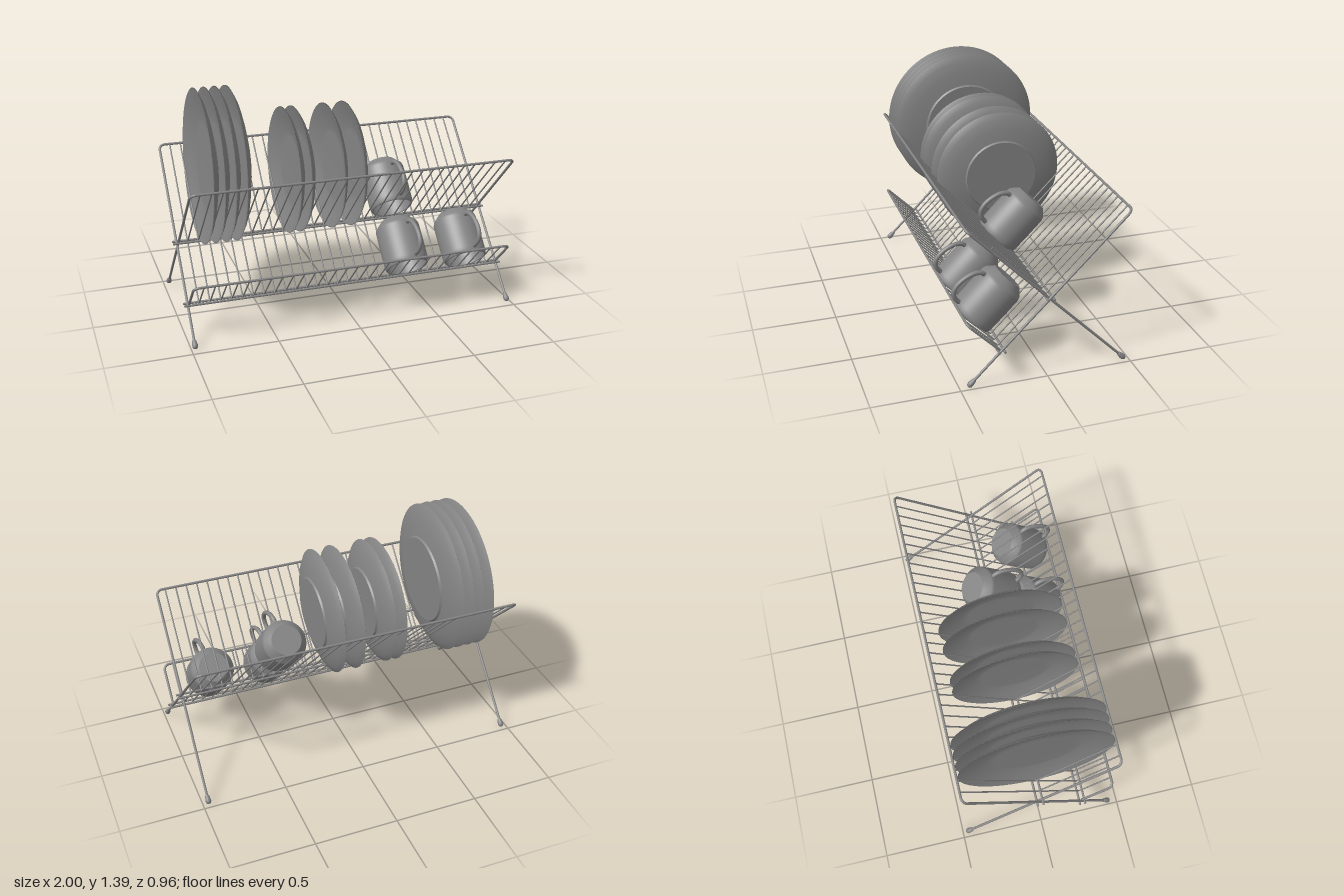
import * as THREE from 'three';

const steel = new THREE.MeshStandardMaterial({ color: 0x848484 });
const china = new THREE.MeshStandardMaterial({ color: 0x848484, side: THREE.DoubleSide });
const V2 = (p) => new THREE.Vector2(p[0], p[1]);

function add(parent, name, geometry, material = steel) {
  const mesh = new THREE.Mesh(geometry, material);
  mesh.name = name;
  parent.add(mesh);
  return mesh;
}

// Straight round bar along local y, from y0 to y1
function upright(parent, name, x, y0, y1, r) {
  add(parent, name, new THREE.CylinderGeometry(r, r, y1 - y0, 10)).position.set(x, (y0 + y1) / 2, 0);
}

// Straight round bar along x
function crossBar(parent, name, halfLength, y, z, r) {
  const bar = add(parent, name, new THREE.CylinderGeometry(r, r, halfLength * 2, 10));
  bar.rotation.z = Math.PI / 2;
  bar.position.set(0, y, z);
}

// Flat rack: rounded U frame filled with thin wires, optionally ending in capped feet
function rack({ name, halfWidth, top, bottom, wireBottom, feet }) {
  const group = new THREE.Group();
  group.name = name;
  const r = 0.0075, corner = 0.035;
  crossBar(group, 'topBar', halfWidth - corner, top, 0, r);
  for (const side of [-1, 1]) {
    upright(group, 'sideBar', side * halfWidth, bottom, top - corner, r);
    const bend = add(group, 'cornerBend', new THREE.TorusGeometry(corner, r, 10, 8, Math.PI / 2));
    bend.position.set(side * (halfWidth - corner), top - corner, 0);
    if (side < 0) bend.rotation.z = Math.PI / 2;
    if (feet) {
      const profile = [[0, -0.025], [0.011, -0.022], [0.0165, -0.012], [0.0165, 0], [0.012, 0.025], [0.007, 0.03]];
      add(group, 'footCap', new THREE.LatheGeometry(profile.map(V2), 16)).position.set(side * halfWidth, bottom, 0);
    }
  }
  for (let i = -14; i <= 14; i++) upright(group, 'wire', i * 0.0651, wireBottom, top, 0.0045);
  return group;
}

// Dished plate: axis along +x towards the foot, rim in the plane x = 0
function plate(name, radius, foot) {
  const dish = [
    // upper, concave face
    [0, 0.042], [foot * 0.92, 0.042], [foot * 1.08, 0.039], [foot + (radius - foot) * 0.6, 0.02], [radius - 0.006, -0.003],
    // rim and underside
    [radius, 0], [foot + (radius - foot) * 0.78, 0.023], [foot + (radius - foot) * 0.45, 0.043], [foot * 1.03, 0.056],
  ];
  // raised flat foot, split to keep its edge sharp
  const step = [[foot * 1.03, 0.056], [foot, 0.067]];
  const disc = [[foot, 0.067], [0, 0.067]];
  const group = new THREE.Group();
  group.name = name;
  for (const [part, points] of Object.entries({ plateDish: dish, plateFootEdge: step, plateFoot: disc })) {
    add(group, part, new THREE.LatheGeometry(points.map(V2), 72), china);
  }
  group.rotation.z = -Math.PI / 2 - 0.025;
  return group;
}

// Upside-down mug: mouth at y = 0, closed base at the top, handle towards +z
function mug() {
  const group = new THREE.Group();
  group.name = 'mug';
  const outside = [[0.126, 0], [0.132, 0.012], [0.134, 0.035], [0.135, 0.13], [0.134, 0.245], [0.129, 0.263], [0.097, 0.297], [0.09, 0.305]];
  const base = [[0.09, 0.305], [0, 0.305]];
  const inside = [[0, 0.285], [0.085, 0.284], [0.118, 0.255], [0.122, 0.2], [0.122, 0.03], [0.118, 0.002], [0.122, -0.003], [0.126, 0]];
  for (const [part, points] of Object.entries({ mugWall: outside, mugBase: base, mugInside: inside })) {
    add(group, part, new THREE.LatheGeometry(points.map(V2), 48), china);
  }
  const path = new THREE.CatmullRomCurve3(
    [[0.238, 0.122], [0.236, 0.155], [0.211, 0.188], [0.165, 0.212], [0.11, 0.222], [0.062, 0.21], [0.036, 0.175], [0.03, 0.128]]
      .map(([y, z]) => new THREE.Vector3(0, y, z)));
  add(group, 'mugHandle', new THREE.TubeGeometry(path, 40, 0.0135, 12), china);
  group.rotation.set(-Math.PI / 4, 0.17, 0);
  return group;
}

export function createModel() {
  const model = new THREE.Group();
  model.name = 'dishRack';
  const tilt = Math.PI / 4, cy = 0.467, cz = -0.012;

  // Two crossed racks; the one leaning back carries wires on down to the lower shelf
  const back = rack({ name: 'backRack', halfWidth: 0.977, top: 0.655, bottom: -0.632, wireBottom: -0.39, feet: true });
  back.position.set(0, cy, cz);
  back.rotation.x = -tilt;
  const front = rack({ name: 'frontRack', halfWidth: 0.966, top: 0.655, bottom: -0.632, wireBottom: 0, feet: true });
  front.position.set(0, cy, cz);
  front.rotation.x = tilt;

  // Short lower shelf at the front
  const shelf = rack({ name: 'lowerShelf', halfWidth: 0.97, top: 0.262, bottom: 0, wireBottom: 0, feet: false });
  shelf.position.set(0, 0.192, 0.264);
  shelf.rotation.x = tilt;
  model.add(back, front, shelf);

  // Paired long bars at the crossing and under the shelf
  for (const [y, z] of [[cy, -0.033], [cy, 0.002], [0.192, 0.246], [0.192, 0.279]]) {
    crossBar(model, 'longBar', 1, y, z, 0.0068);
  }

  // Plates standing in the crossing
  const stacks = [
    { name: 'dinnerPlate', radius: 0.456, foot: 0.26, xs: [-0.829, -0.766, -0.703, -0.64] },
    { name: 'sidePlate', radius: 0.378, foot: 0.213, xs: [-0.312, -0.248, -0.05, 0.072] },
  ];
  for (const { name, radius, foot, xs } of stacks) {
    for (const x of xs) {
      const p = plate(name, radius, foot);
      p.position.set(x, 0.474 + radius, cz);
      model.add(p);
    }
  }

  // Mugs resting mouth down
  for (const [x, y, z] of [[0.343, 0.567, 0.088], [0.343, 0.287, 0.361], [0.723, 0.287, 0.361]]) {
    const m = mug();
    m.position.set(x, y, z);
    model.add(m);
  }
  return model;
}
